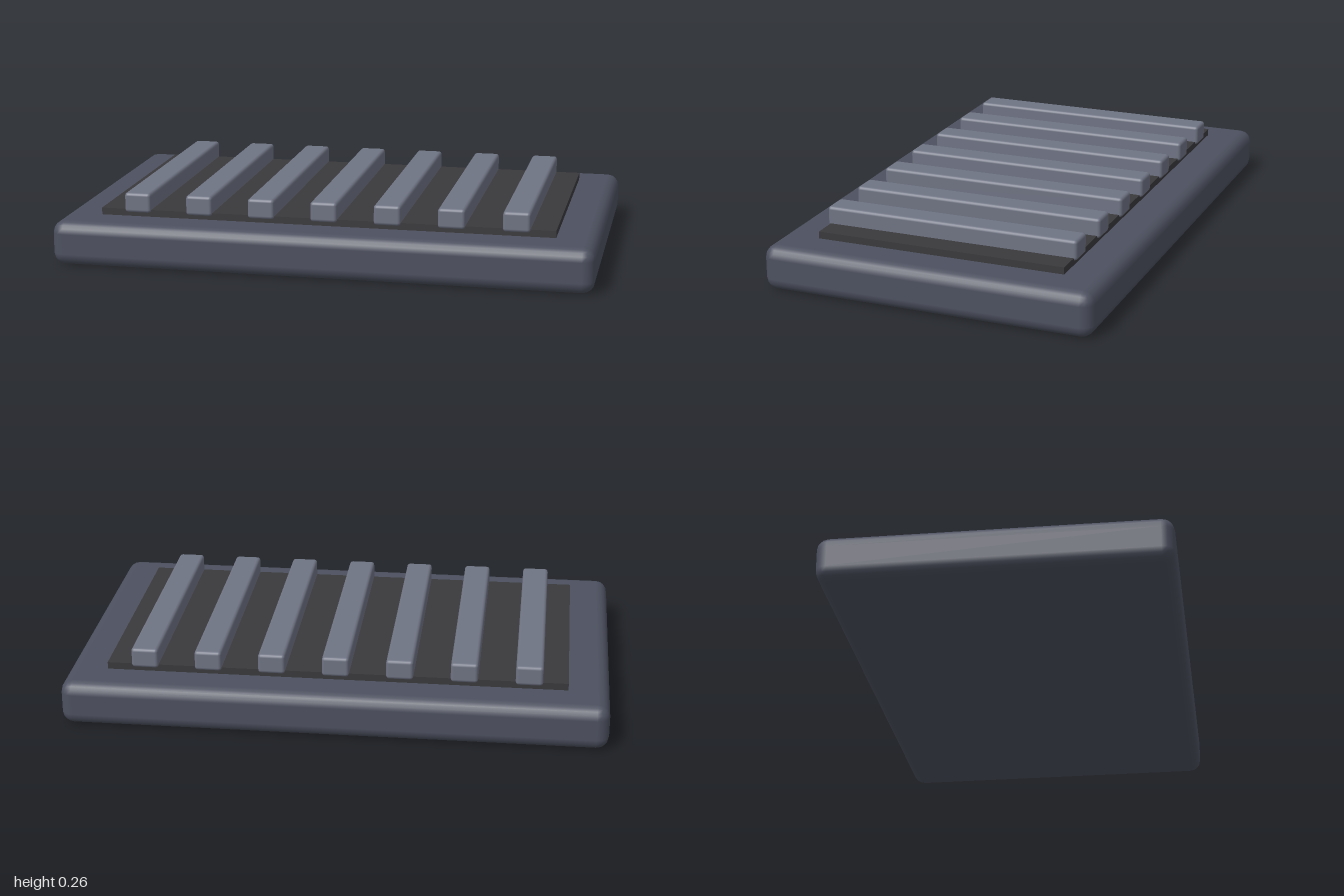
import * as THREE from 'three';
import { RoundedBoxGeometry } from 'three/addons/geometries/RoundedBoxGeometry.js';

const material = (color) => new THREE.MeshStandardMaterial({ color });

function addPart(group, name, geometry, mat, x, y, z) {
  const mesh = new THREE.Mesh(geometry, mat);
  mesh.name = name;
  mesh.position.set(x, y, z);
  group.add(mesh);
  return mesh;
}

export function createModel() {
  const group = new THREE.Group();
  group.name = 'slattedGrate';

  const frameMat = material(0x4d5160);
  const recessMat = material(0x3a393c);
  const slatMat = material(0x6f7484);

  // Rounded slab that carries everything
  addPart(group, 'base', new RoundedBoxGeometry(2.002, 0.166, 1.246, 2, 0.045), frameMat, 0, 0.082, 0);

  // Thin dark plate under the slats
  addPart(group, 'plate', new THREE.BoxGeometry(1.7, 0.04, 0.94), recessMat, 0, 0.171, 0);

  // Seven evenly spaced slats running front to back
  const slats = new THREE.Group();
  slats.name = 'slats';
  group.add(slats);
  const slatGeometry = new RoundedBoxGeometry(0.1, 0.075, 0.962, 2, 0.012);
  const count = 7;
  const spacing = 0.236;
  for (let i = 0; i < count; i++) {
    addPart(slats, `slat${i + 1}`, slatGeometry, slatMat, (i - (count - 1) / 2) * spacing, 0.217, 0);
  }

  return group;
}
